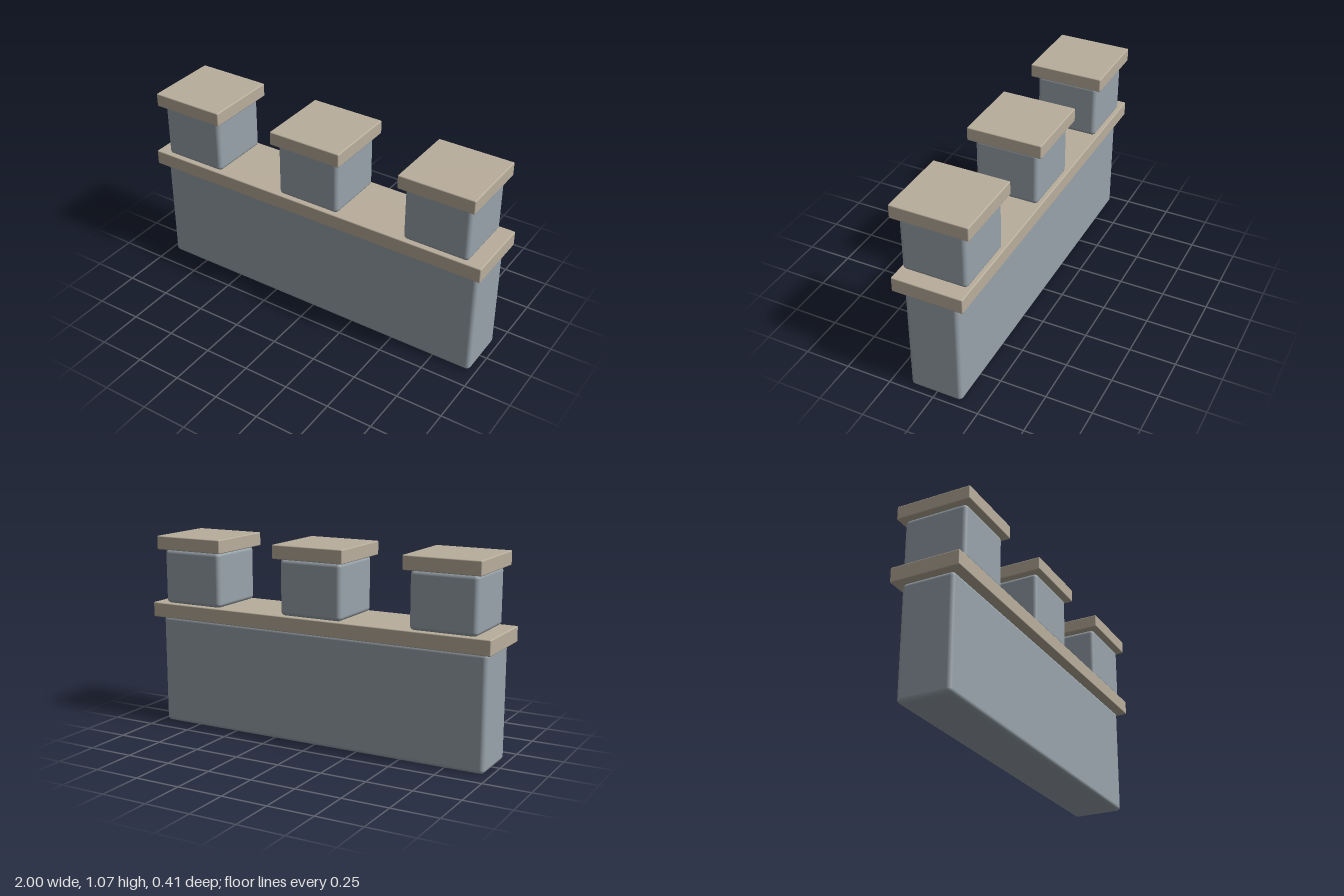
import * as THREE from 'three';
import { RoundedBoxGeometry } from 'three/addons/geometries/RoundedBoxGeometry.js';

export function createModel() {
  const model = new THREE.Group();
  model.name = 'battlement';

  const stone = new THREE.MeshStandardMaterial({ color: 0x98a3ab });
  stone.name = 'grey stone';
  const trim = new THREE.MeshStandardMaterial({ color: 0xb9ae9c });
  trim.name = 'tan trim';

  // Rounded block spanning bottom..top, centred at x
  function block(name, parent, material, x, width, bottom, top, depth, radius) {
    const geometry = new RoundedBoxGeometry(width, top - bottom, depth, 4, radius);
    const mesh = new THREE.Mesh(geometry, material);
    mesh.name = name;
    mesh.position.set(x, (bottom + top) / 2, 0);
    parent.add(mesh);
  }

  // Parapet wall and its coping
  block('wall', model, stone, 0, 1.935, 0, 0.613, 0.288, 0.023);
  block('coping', model, trim, 0, 2, 0.613, 0.695, 0.38, 0.006);

  // Three capped merlons
  ['rightMerlon', 'middleMerlon', 'leftMerlon'].forEach((name, i) => {
    const merlon = new THREE.Group();
    merlon.name = name;
    merlon.position.x = (i - 1) * 0.743;
    block('merlonBlock', merlon, stone, 0, 0.36, 0.695, 0.997, 0.349, 0.023);
    block('merlonCap', merlon, trim, 0, 0.412, 0.997, 1.072, 0.412, 0.006);
    model.add(merlon);
  });

  return model;
}
